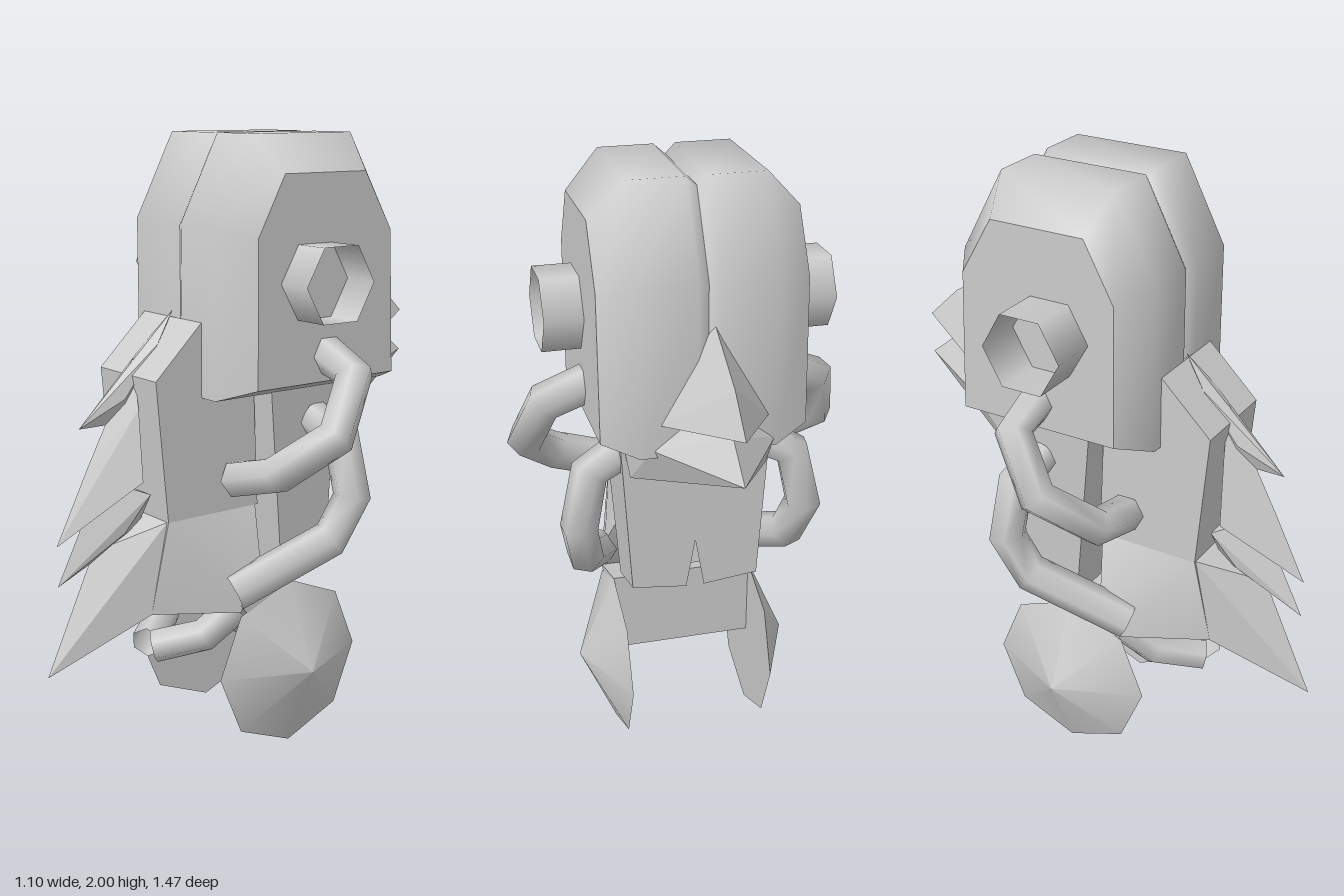
import * as THREE from 'three';
import { toCreasedNormals } from 'three/addons/utils/BufferGeometryUtils.js';
import { ConvexGeometry } from 'three/addons/geometries/ConvexGeometry.js';

const mat = new THREE.MeshStandardMaterial({ color: 0xcccccc, side: THREE.DoubleSide });

function add(parent, name, geometry) {
  const mesh = new THREE.Mesh(geometry, mat);
  mesh.name = name;
  parent.add(mesh);
  return mesh;
}

// Convex solid: mid points are [y, z] at x = 0, side points [x, y, z] are mirrored
function facet(parent, name, mid, side, crease = 0.1) {
  const pts = mid.map(([y, z]) => new THREE.Vector3(0, y, z));
  for (const [x, y, z] of side) {
    pts.push(new THREE.Vector3(x, y, z), new THREE.Vector3(-x, y, z));
  }
  return add(parent, name, toCreasedNormals(new ConvexGeometry(pts), crease));
}

// Six-sided tube that bends sharply at each point; s mirrors it in x
function bentTube(parent, name, points, s, radius) {
  const pts = points.map(([x, y, z]) => new THREE.Vector3(x * s, y, z));
  const last = pts.length - 1;
  const path = new THREE.Curve();
  path.getPoint = path.getPointAt = (t) => {
    const i = Math.min(Math.floor(t * last + 1e-6), last - 1);
    return pts[i].clone().lerp(pts[i + 1], t * last - i);
  };
  path.getTangentAt = (t) => path.getTangent(t);
  return add(parent, name, new THREE.TubeGeometry(path, last, radius, 6));
}

// Two-lobed shell lofted across x, with a sharp groove along the middle
function shellGeometry() {
  const full = [[0.25, 1.2], [0.25, 1.73], [0.11, 2], [-0.28, 2], [-0.43, 1.73], [-0.43, 1.2]];
  const groove = [[0.23, 1.2], [0.23, 1.72], [0.1, 1.97], [-0.27, 1.97], [-0.41, 1.72], [-0.41, 1.2]];
  const outer = [[0.17, 1.24], [0.17, 1.7], [0.07, 1.885], [-0.25, 1.885], [-0.36, 1.7], [-0.38, 1.24]];
  const stations = [[-0.32, outer], [-0.21, full], [-0.035, full], [0, groove], [0, groove],
    [0.035, full], [0.21, full], [0.32, outer]];
  const n = full.length, last = stations.length - 1, count = n * stations.length;
  const pos = [], idx = [];
  // Separate vertices for the wrap, the side caps and the underside keep their edges sharp
  for (let copy = 0; copy < 3; copy++) {
    for (const [x, ring] of stations) for (const [z, y] of ring) pos.push(x, y, z);
  }
  for (let i = 0; i < last; i++) {
    if (stations[i][0] === stations[i + 1][0]) continue;
    for (let j = 0; j < n; j++) {
      const k = (j + 1) % n, base = i * n + (k === 0 ? 2 * count : 0);
      const a = base + j, b = a + n, c = base + n + k, d = base + k;
      idx.push(a, b, c, a, c, d);
    }
  }
  for (let j = 1; j < n - 1; j++) {
    const r = count, l = count + last * n;
    idx.push(r, r + j, r + j + 1, l, l + j + 1, l + j);
  }
  const g = new THREE.BufferGeometry();
  g.setAttribute('position', new THREE.Float32BufferAttribute(pos, 3));
  g.setIndex(idx);
  g.computeVertexNormals();
  return g;
}

// Torso walls, open below, with a slit in the front and back hem
function torsoGeometry() {
  // Half outline from front middle to back middle: [top x, top z, hem x, hem y, hem z]
  const half = [[0, 0.05, 0, 0.78, 0], [0.03, 0.05, 0.03, 0.58, -0.03], [0.25, 0.05, 0.21, 0.58, -0.03],
    [0.25, -0.22, 0.21, 0.63, -0.22], [0.03, -0.22, 0.03, 0.61, -0.22], [0, -0.22, 0, 0.78, -0.22]];
  const pos = [];
  for (const s of [1, -1]) {
    for (let i = 0; i < half.length - 1; i++) {
      const [a, b] = s > 0 ? [half[i], half[i + 1]] : [half[i + 1], half[i]];
      const topA = [a[0] * s, 1.24, a[1]], lowA = [a[2] * s, a[3], a[4]];
      const topB = [b[0] * s, 1.24, b[1]], lowB = [b[2] * s, b[3], b[4]];
      pos.push(...topA, ...lowA, ...lowB, ...topA, ...lowB, ...topB);
    }
  }
  const g = new THREE.BufferGeometry();
  g.setAttribute('position', new THREE.Float32BufferAttribute(pos, 3));
  g.computeVertexNormals();
  return g;
}

export function createModel() {
  const root = new THREE.Group();
  add(root, 'headShell', shellGeometry());

  const body = new THREE.Group();
  body.name = 'body';
  body.position.x = -0.018;
  root.add(body);
  add(body, 'torso', torsoGeometry());

  // Face block, apron and pointed bib
  facet(body, 'faceBlock', [], [[0.157, 1.435, 0.25], [0.157, 1.27, 0.42], [0.157, 0.82, 0.38],
    [0.157, 0.82, 0.03], [0.157, 1.3, 0.05]]);
  facet(body, 'apron', [], [[0.157, 0.82, 0.38], [0.157, 0.82, 0.04], [0.24, 0.64, 0.08],
    [0.24, 0.5, 0.16], [0.13, 0.52, 0.43]], 0.8);
  facet(body, 'bib', [[0.72, 0.56], [0.34, 0.735]], [[0.15, 0.82, 0.38], [0.13, 0.52, 0.43]]);

  // Overlapping ridged spikes down the front
  facet(body, 'upperFrontSpike', [[1.455, 0.25], [1.12, 0.6], [1.12, 0.42]],
    [[0.035, 1.36, 0.33], [0.03, 1.2, 0.45]]);
  facet(body, 'middleFrontSpike', [[1.32, 0.4], [0.98, 0.58], [0.76, 0.69], [0.9, 0.4]],
    [[0.06, 1.17, 0.42], [0.11, 0.95, 0.44]]);
  facet(body, 'lowerFrontSpike', [[0.95, 0.53], [0.63, 0.69], [0.76, 0.4]],
    [[0.09, 0.9, 0.4], [0.06, 0.78, 0.48]]);

  // Spikes behind the head
  facet(body, 'upperBackSpike', [[1.6, -0.41], [1.48, -0.62], [1.37, -0.735], [1.33, -0.61]],
    [[0.17, 1.3, -0.42]]);
  facet(body, 'lowerBackSpike', [[1.36, -0.5], [1.33, -0.61], [1.23, -0.735], [1.13, -0.34]],
    [[0.19, 1.22, -0.42], [0.24, 1.2, -0.2], [0.22, 1.05, -0.25]]);

  // Wedge-shaped hips between the feet
  facet(body, 'hips', [], [[0.238, 0.29, -0.045], [0.238, 0.57, -0.05], [0.238, 0.51, 0.15]]);

  for (const s of [1, -1]) {
    const side = s > 0 ? 'left' : 'right';
    // Hollow six-sided ear
    const ear = new THREE.CylinderGeometry(0.133, 0.133, 0.17, 6, 1, true).rotateZ(-s * Math.PI / 2);
    add(body, side + 'Ear', ear).position.set(s * 0.375, 1.558, -0.05);
    // Upper and lower arms
    bentTube(root, side + 'UpperArm', [[0.28, 1.335, -0.11], [0.44, 1.275, -0.11], [0.487, 1.105, 0],
      [0.375, 0.985, 0.14], [0.16, 0.925, 0.13]], s, 0.062);
    bentTube(body, side + 'LowerArm', [[0.22, 1.1, -0.14], [0.335, 1.045, -0.17], [0.375, 0.86, -0.185],
      [0.345, 0.72, -0.12], [0.23, 0.57, 0.18]], s, 0.062);
    // Short tubes meeting under the bib
    bentTube(body, side + 'FrontTube', [[0.18, 0.5, 0.13], [0.12, 0.4, 0.22], [0.02, 0.36, 0.35]], s, 0.055);
    // Shallow octagonal cone foot
    const foot = new THREE.ConeGeometry(0.283, 0.125, 8).rotateZ(-s * Math.PI / 2);
    add(body, side + 'Foot', foot).position.set(s * 0.299, 0.283, -0.043);
  }
  return root;
}
